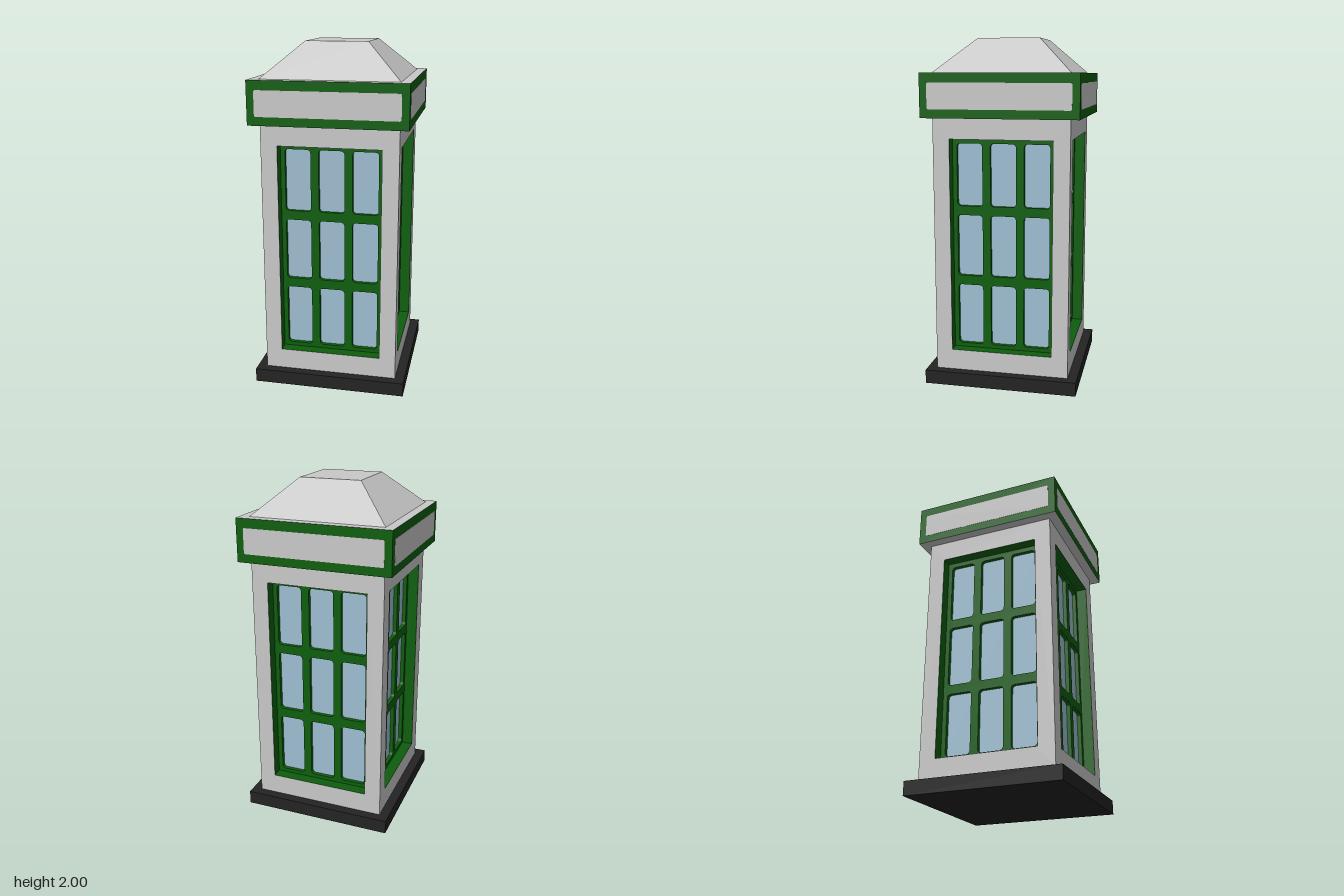
import * as THREE from 'three';

const material = (name, color) => {
  const m = new THREE.MeshStandardMaterial({ color });
  m.name = name;
  return m;
};

// Rectangle with optional rounded corners, usable as a shape or a hole
function rect(x0, y0, x1, y1, r = 0, Type = THREE.Shape) {
  const p = new Type();
  if (!r) {
    p.moveTo(x0, y0).lineTo(x1, y0).lineTo(x1, y1).lineTo(x0, y1).closePath();
    return p;
  }
  p.absarc(x1 - r, y0 + r, r, -Math.PI / 2, 0);
  p.absarc(x1 - r, y1 - r, r, 0, Math.PI / 2);
  p.absarc(x0 + r, y1 - r, r, Math.PI / 2, Math.PI);
  p.absarc(x0 + r, y0 + r, r, Math.PI, Math.PI * 1.5);
  p.closePath();
  return p;
}

const hole = (x0, y0, x1, y1, r) => rect(x0, y0, x1, y1, r, THREE.Path);

const extrude = (shape, depth) =>
  new THREE.ExtrudeGeometry(shape, { depth, bevelEnabled: false, curveSegments: 4 });

export function createModel() {
  const model = new THREE.Group();
  model.name = 'kiosk';

  const grey = material('light grey', 0xc8c8c8);
  const green = material('dark green', 0x0e5e0e);
  const glass = material('pale blue glass', 0x9dbdd0);
  const black = material('black', 0x232323);

  const add = (parent, name, geometry, mat, x = 0, y = 0, z = 0) => {
    const mesh = new THREE.Mesh(geometry, mat);
    mesh.name = name;
    mesh.position.set(x, y, z);
    parent.add(mesh);
    return mesh;
  };

  const half = 0.39;            // half width of the body
  const W = 0.295, B = 0.2, T = 1.44; // window opening

  // Base plinth
  add(model, 'base', new THREE.BoxGeometry(0.89, 0.08, 0.89), black, 0, 0.04, 0);

  // Wall face with the window opening
  const wall = rect(-half, 0.08, half, 1.56);
  wall.holes.push(hole(-W, B, W, T));
  const wallGeo = new THREE.ShapeGeometry(wall);

  // Green lining of the opening
  const lining = rect(-W - 0.02, B - 0.02, W + 0.02, T + 0.02);
  lining.holes.push(hole(-W, B, W, T));
  const liningGeo = extrude(lining, 0.089);

  // Recessed lattice with three by three rounded panes
  const lattice = rect(-W, B, W, T);
  for (const x of [-0.195, 0, 0.195]) {
    for (const y of [0.403, 0.818, 1.232]) {
      lattice.holes.push(hole(x - 0.074, y - 0.18, x + 0.074, y + 0.18, 0.02));
    }
  }
  const latticeGeo = extrude(lattice, 0.025);
  const glassGeo = new THREE.PlaneGeometry(2 * W, T - B);

  // Sign panel on the band
  const panelGeo = extrude(rect(-0.403, 1.607, 0.403, 1.752, 0.01), 0.003);

  for (let i = 0; i < 4; i++) {
    const side = new THREE.Group();
    side.name = ['front', 'left', 'back', 'right'][i] + 'Side';
    side.rotation.y = i * Math.PI / 2;
    add(side, 'wall', wallGeo, grey, 0, 0, half);
    add(side, 'windowLining', liningGeo, green, 0, 0, 0.3);
    add(side, 'windowLattice', latticeGeo, green, 0, 0, 0.3);
    add(side, 'windowGlass', glassGeo, glass, 0, (B + T) / 2, 0.302);
    add(side, 'signPanel', panelGeo, grey, 0, 0, 0.443);
    model.add(side);
  }

  // Sign band: green sides, grey top and underside
  add(model, 'signBand', new THREE.BoxGeometry(0.89, 0.247, 0.89),
    [green, green, grey, grey, green, green], 0, 1.6815, 0);

  // Roof: square frustum with flat faces
  const roof = new THREE.CylinderGeometry(0.179 * Math.SQRT2, half * Math.SQRT2, 0.195, 4)
    .rotateY(Math.PI / 4).toNonIndexed();
  roof.computeVertexNormals();
  add(model, 'roof', roof, grey, 0, 1.9025, 0);

  return model;
}
